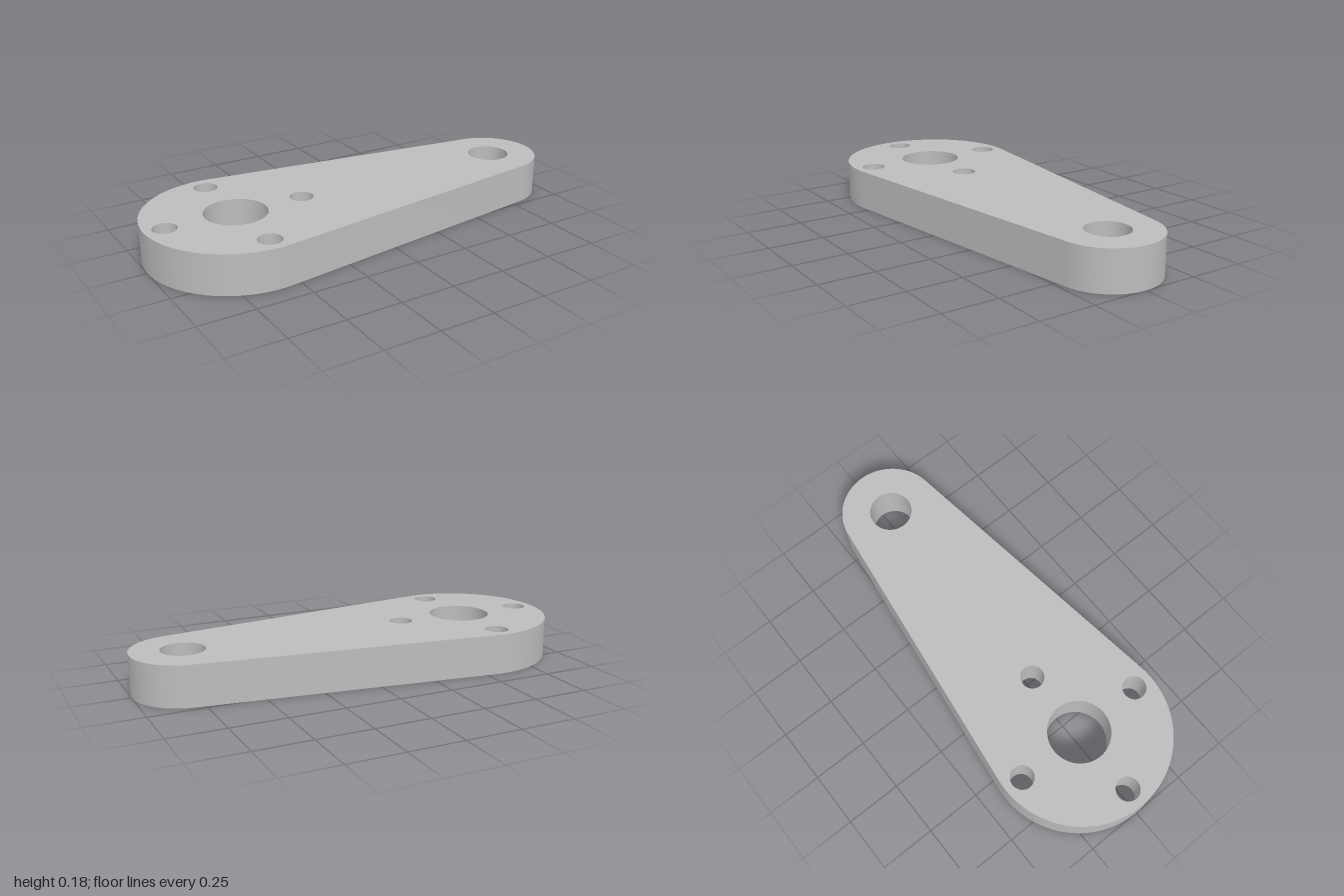
import * as THREE from 'three';
import { toCreasedNormals } from 'three/addons/utils/BufferGeometryUtils.js';

const HEIGHT = 0.182;
const BIG = { x: -0.593, r: 0.407 };
const SMALL = { x: 0.772, r: 0.228 };

export function createModel() {
  const metal = new THREE.MeshStandardMaterial({ color: 0xbcbcbc });
  metal.name = 'light grey metal';

  // Outline: two end arcs joined by their common tangents
  const phi = Math.acos((BIG.r - SMALL.r) / (SMALL.x - BIG.x));
  const outline = new THREE.Shape();
  outline.absarc(BIG.x, 0, BIG.r, phi, 2 * Math.PI - phi, false);
  outline.absarc(SMALL.x, 0, SMALL.r, -phi, phi, false);
  outline.closePath();

  const addHole = (x, y, r) => {
    const hole = new THREE.Path();
    hole.absarc(x, y, r, 0, 2 * Math.PI, true);
    outline.holes.push(hole);
  };

  // Shaft bore and end bore
  addHole(BIG.x, 0, 0.139);
  addHole(SMALL.x, 0, 0.097);

  // Four bolt holes around the shaft bore
  for (let i = 0; i < 4; i++) {
    const a = (i * Math.PI) / 2;
    addHole(BIG.x + 0.318 * Math.cos(a), 0.318 * Math.sin(a), 0.053);
  }

  // Plate laid flat, standing on y = 0
  const extruded = new THREE.ExtrudeGeometry(outline, {
    depth: HEIGHT, bevelEnabled: false, curveSegments: 64,
  });
  extruded.rotateX(-Math.PI / 2);
  const plate = new THREE.Mesh(toCreasedNormals(extruded, Math.PI / 6), metal);
  plate.name = 'leverArmPlate';

  const group = new THREE.Group();
  group.name = 'leverArm';
  group.add(plate);
  return group;
}
